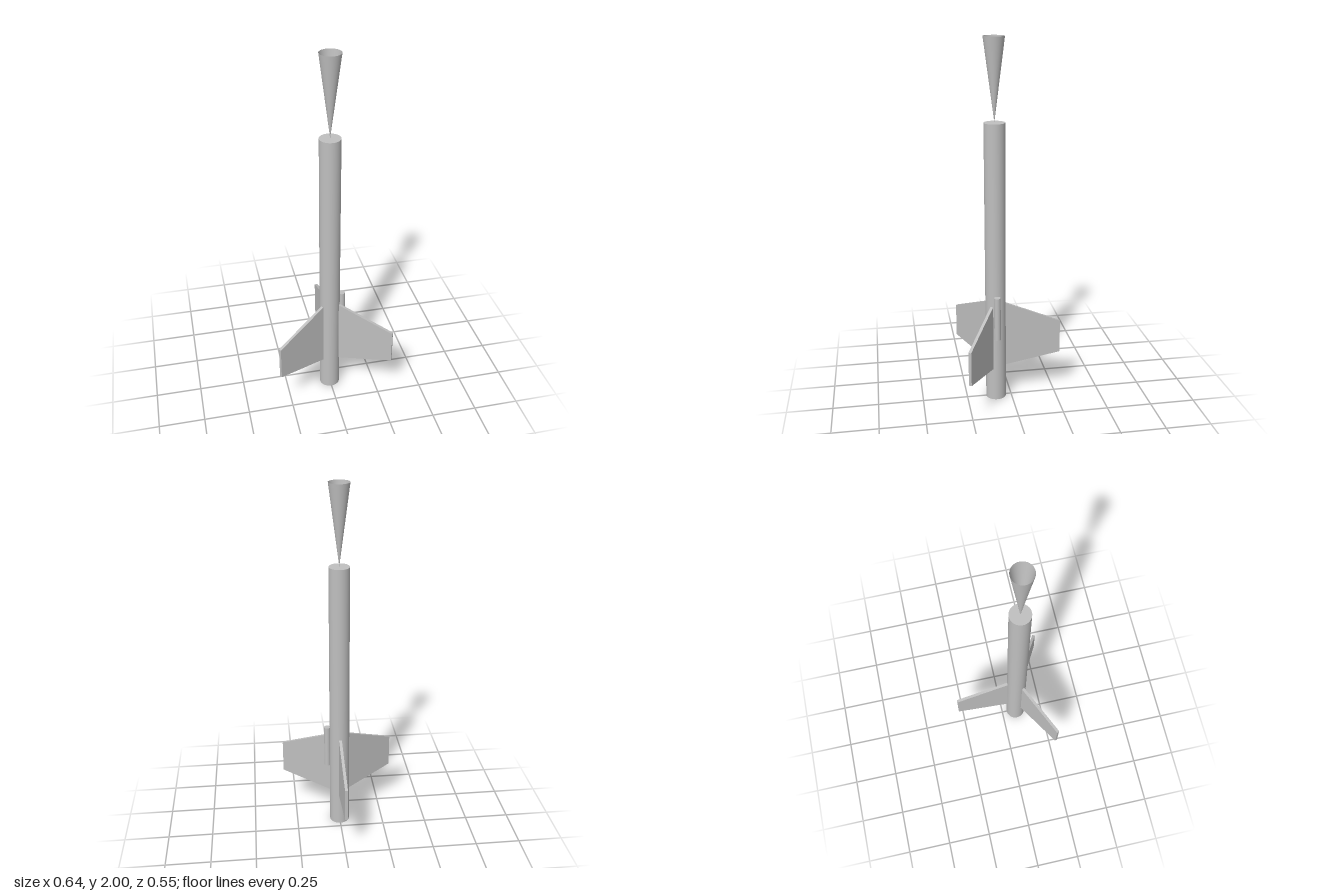
import * as THREE from 'three';

export function createModel() {
  const model = new THREE.Group();
  model.name = 'rocket';
  const grey = new THREE.MeshStandardMaterial({ color: 0xbfbfbf });
  grey.name = 'grey';
  const greyShell = new THREE.MeshStandardMaterial({ color: 0xbfbfbf, side: THREE.DoubleSide });
  greyShell.name = 'grey open shell';

  const axisZ = 0.086;
  const radius = 0.056;
  const bodyTop = 1.567;

  const add = (name, geometry, material, x, y, z) => {
    const mesh = new THREE.Mesh(geometry, material);
    mesh.name = name;
    mesh.position.set(x, y, z);
    model.add(mesh);
    return mesh;
  };

  // Body tube
  add('bodyTube', new THREE.CylinderGeometry(radius, radius, bodyTop, 48), grey, 0, bodyTop / 2, axisZ);

  // Inverted nose cone, open at the top and resting on its tip
  const coneHeight = 2 - bodyTop;
  add('noseCone', new THREE.CylinderGeometry(radius, 0, coneHeight, 48, 1, true), greyShell,
    0, bodyTop + coneHeight / 2, axisZ);

  // Launch lug on the left side
  add('launchLug', new THREE.CylinderGeometry(0.018, 0.018, 0.246, 32), grey, 0.069, 0.502, axisZ);

  // Three swept fins, one pointing straight back
  const thickness = 0.016;
  const outline = new THREE.Shape([
    [0.05, 0.19], [0.364, 0.246], [0.364, 0.435], [0.05, 0.567],
  ].map(([x, y]) => new THREE.Vector2(x, y)));
  const finGeometry = new THREE.ExtrudeGeometry(outline, { depth: thickness, bevelEnabled: false });
  finGeometry.translate(0, 0, -thickness / 2);
  for (let i = 0; i < 3; i++) {
    const fin = add('fin' + (i + 1), finGeometry, grey, 0, 0, axisZ);
    fin.rotation.y = Math.PI / 2 + (i * 2 * Math.PI) / 3;
  }

  return model;
}
